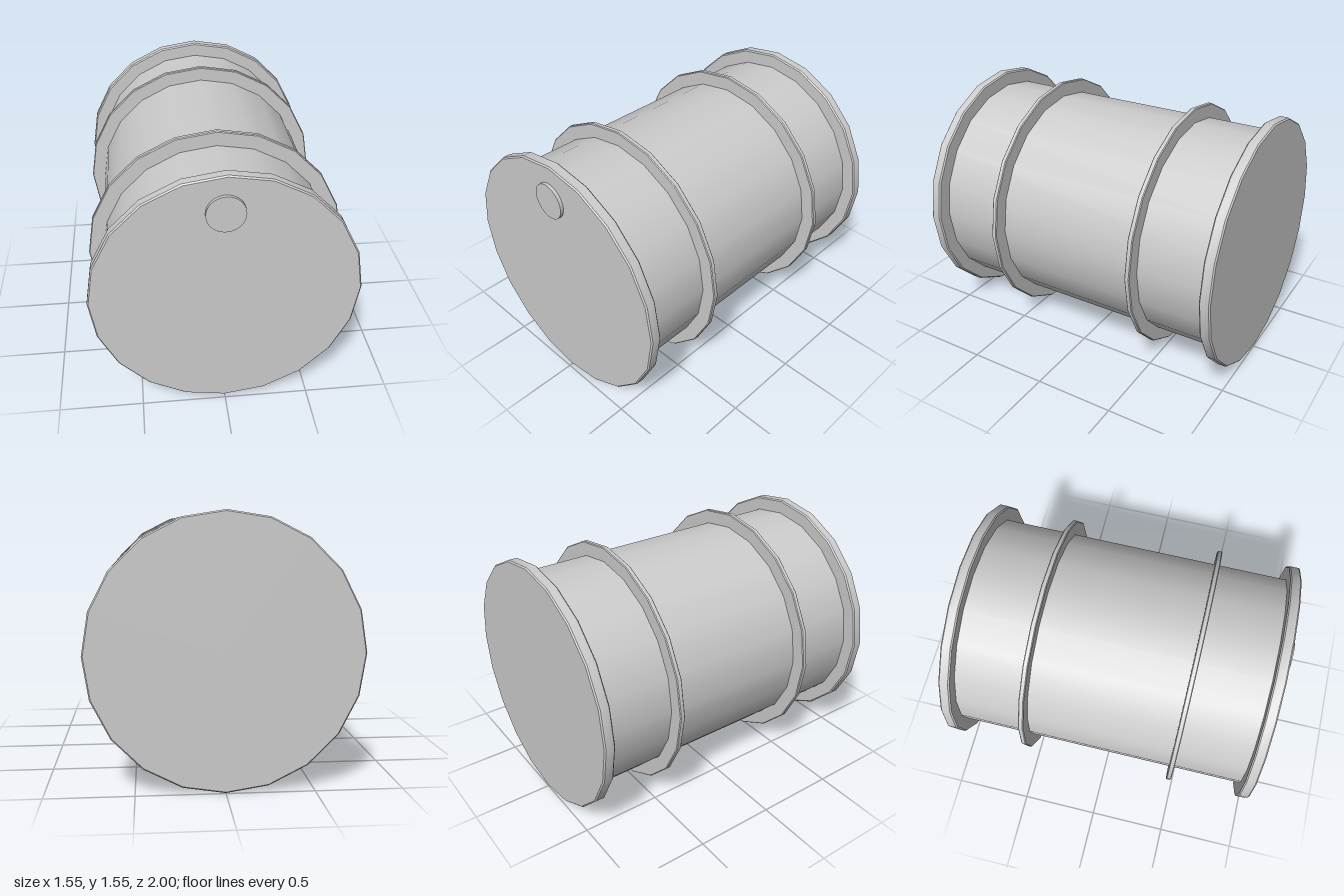
import * as THREE from 'three';
import { toCreasedNormals } from 'three/addons/utils/BufferGeometryUtils.js';

const SIDES = 20;
const RADIUS = 0.776; // outer radius of rims and hoops; also the axis height
const BODY_RADIUS = 0.687;
const MID_Z = -0.01; // middle of the drum, without the plug

export function createModel() {
  const model = new THREE.Group();
  const material = new THREE.MeshStandardMaterial({ color: 0xcccccc });

  function addPart(name, geometry, x, y, z) {
    const mesh = new THREE.Mesh(geometry, material);
    mesh.name = name;
    mesh.position.set(x, y, z);
    model.add(mesh);
  }

  // Disc along z with a small chamfer on both outer edges
  function chamferedDisc(radius, width, chamfer) {
    const h = width / 2;
    const profile = [
      [0, -h], [radius - chamfer, -h], [radius, -h + chamfer],
      [radius, h - chamfer], [radius - chamfer, h], [0, h],
    ].map(([r, y]) => new THREE.Vector2(r, y));
    const geometry = new THREE.LatheGeometry(profile, SIDES).rotateX(Math.PI / 2);
    return toCreasedNormals(geometry, 0.5);
  }

  // Drum wall, lying along z
  const wall = new THREE.CylinderGeometry(BODY_RADIUS, BODY_RADIUS, 1.9, SIDES, 1, true);
  addPart('drumWall', wall.rotateX(Math.PI / 2), 0, RADIUS, MID_Z);

  // End lids with thick rims, and two thin hoops between them
  for (const [side, sign] of [['front', 1], ['back', -1]]) {
    addPart(side + 'Lid', chamferedDisc(RADIUS, 0.068, 0.008), 0, RADIUS, MID_Z + sign * 0.956);
    addPart(side + 'Hoop', chamferedDisc(RADIUS, 0.032, 0.005), 0, RADIUS, MID_Z + sign * 0.476);
  }

  // Filler plug on the front lid
  const plug = new THREE.CylinderGeometry(0.109, 0.109, 0.03, 32).rotateX(Math.PI / 2);
  addPart('fillerPlug', plug, -0.01, 1.33, 0.985);

  return model;
}
